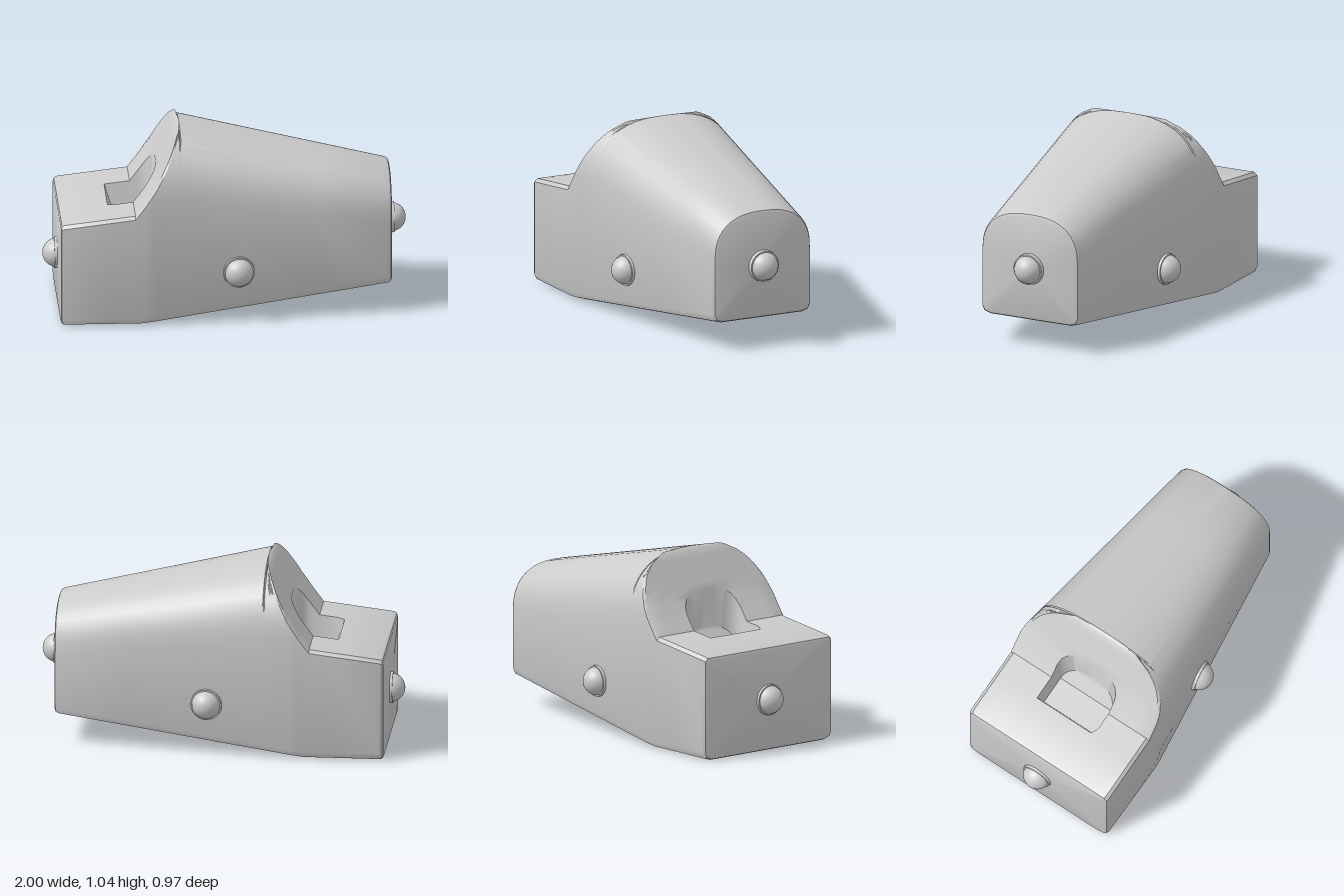
import * as THREE from 'three';
import { toCreasedNormals } from 'three/addons/utils/BufferGeometryUtils.js';

const material = new THREE.MeshStandardMaterial({ color: 0xcccccc });
const { lerp, clamp } = THREE.MathUtils;

// Piecewise-linear lookup through [x, value] pairs
function along(points, x) {
  for (let i = 1; i < points.length; i++) {
    const [x0, v0] = points[i - 1], [x1, v1] = points[i];
    if (x <= x1) return lerp(v0, v1, clamp((x - x0) / (x1 - x0), 0, 1));
  }
  return points[points.length - 1][1];
}

// Hood, sloped face and ridge, cutting off the arched body
const STEP = [[-0.92, 0.58], [-0.51, 0.63], [-0.45, 0.71], [-0.39, 0.80], [-0.33, 0.91], [-0.27, 1.025], [-0.25, 1.04]];
const BASE = [[-0.48, 0], [0.91, 0.165]];
const WIDTH = [[-0.42, 0.46], [0.91, 0.30]];
const RIDGE = -0.25;

// One closed cross-section: x, half width of the pocket, pocket open or not, inset for rounded ends
function section(x, pocket, open, inset) {
  const w = along(WIDTH, x) - inset;
  const base = along(BASE, x) + inset;
  const crown = 1.04 - (x - RIDGE) * 0.228 - inset;
  const arch = 0.85 * w, spring = crown - arch;
  const cut = x < RIDGE ? along(STEP, x) - inset : crown;
  const bevel = x < RIDGE ? 0.018 : 0;
  const arcPoint = (t) => [w * Math.sin(t) ** 0.8, spring + arch * Math.max(0, Math.cos(t)) ** 0.8];

  const start = Math.acos(clamp((cut - bevel - spring) / arch, 0, 1) ** 1.25);
  const flat = Math.max(0, arcPoint(start)[0] - bevel);
  const rim = Math.min(pocket, flat);
  const floor = open ? along(STEP, x - 0.06) - 0.12 : cut;

  const half = [[0, floor], [Math.max(0, rim - 0.02), floor], [rim, cut]];
  for (let i = 1; i <= 3; i++) half.push([lerp(rim, flat, i / 3), cut]);
  for (let i = 0; i <= 10; i++) {
    const [z, y] = arcPoint(lerp(start, Math.PI / 2, i / 10));
    half.push([z, Math.min(y, cut - bevel)]);
  }
  half.push([w, base + 0.04], [w - 0.013, base + 0.012], [w - 0.05, base], [0, base]);
  const mirrored = half.slice(1, -1).reverse().map(([z, y]) => [-z, y]);
  return [...half, ...mirrored].map(([z, y]) => new THREE.Vector3(x, y, z));
}

// Skin the cross-sections and close both ends
function loft(rings) {
  const positions = [];
  const area = new THREE.Triangle();
  const face = (a, b, c) => {
    if (area.set(a, b, c).getArea() > 1e-8) for (const p of [a, b, c]) positions.push(p.x, p.y, p.z);
  };
  const n = rings[0].length;
  for (let i = 0; i < rings.length - 1; i++) {
    for (let j = 0; j < n; j++) {
      const k = (j + 1) % n;
      face(rings[i][j], rings[i][k], rings[i + 1][k]);
      face(rings[i][j], rings[i + 1][k], rings[i + 1][j]);
    }
  }
  const first = rings[0], last = rings[rings.length - 1];
  const middle = (ring) => new THREE.Box3().setFromPoints(ring).getCenter(new THREE.Vector3());
  const m0 = middle(first), m1 = middle(last);
  for (let j = 0; j < n; j++) {
    const k = (j + 1) % n;
    face(m0, first[k], first[j]);
    face(m1, last[j], last[k]);
  }
  const geometry = new THREE.BufferGeometry();
  geometry.setAttribute('position', new THREE.Float32BufferAttribute(positions, 3));
  return toCreasedNormals(geometry, 0.6);
}

function makeBody() {
  const rings = [];
  const add = (x, pocket, open = false, inset = 0) => rings.push(section(x, pocket, open, inset));
  // Hood end with rounded edge
  add(-0.92, 0.19, false, 0.02);
  add(-0.914, 0.19, false, 0.006);
  add(-0.90, 0.19);
  // Pocket through hood and sloped face, with a rounded far end
  add(-0.65, 0.19);
  for (const x of [-0.61, -0.55, -0.51, -0.48, -0.45]) add(x, 0.19, true);
  for (const [x, z] of [[-0.425, 0.18], [-0.405, 0.16], [-0.39, 0.13], [-0.38, 0.08]]) add(x, z, true);
  add(-0.38, 0.08);
  // Rest of the slope up to the ridge
  for (const x of [-0.36, -0.33, -0.31, -0.29, -0.27, -0.26, RIDGE]) add(x, 0.08);
  // Tapering arched hull with rounded end
  for (const x of [0.1, 0.5, 0.89]) add(x, 0);
  add(0.904, 0, false, 0.006);
  add(0.91, 0, false, 0.02);
  const mesh = new THREE.Mesh(loft(rings), material);
  mesh.name = 'body';
  return mesh;
}

// Domed stud with a collar, pointing along a direction
function makeStud(name, position, direction) {
  const stud = new THREE.Group();
  stud.name = name;
  const collar = new THREE.Mesh(new THREE.CylinderGeometry(0.086, 0.09, 0.04, 28), material);
  collar.name = 'collar';
  collar.position.y = 0.005;
  const dome = new THREE.Mesh(new THREE.SphereGeometry(0.08, 28, 10, 0, Math.PI * 2, 0, Math.PI / 2), material);
  dome.name = 'dome';
  dome.position.y = 0.01;
  stud.add(collar, dome);
  stud.position.set(...position);
  stud.quaternion.setFromUnitVectors(new THREE.Vector3(0, 1, 0), new THREE.Vector3(...direction).normalize());
  return stud;
}

export function createModel() {
  const model = new THREE.Group();
  model.name = 'model';
  model.add(makeBody());
  model.add(makeStud('hoodEndStud', [-0.91, 0.285, 0], [-1, 0, 0]));
  model.add(makeStud('narrowEndStud', [0.91, 0.46, 0], [1, 0, 0]));
  for (const side of [1, -1]) {
    model.add(makeStud(side > 0 ? 'frontStud' : 'backStud', [0.06, 0.285, side * 0.393], [0.12, 0, side]));
  }
  return model;
}
